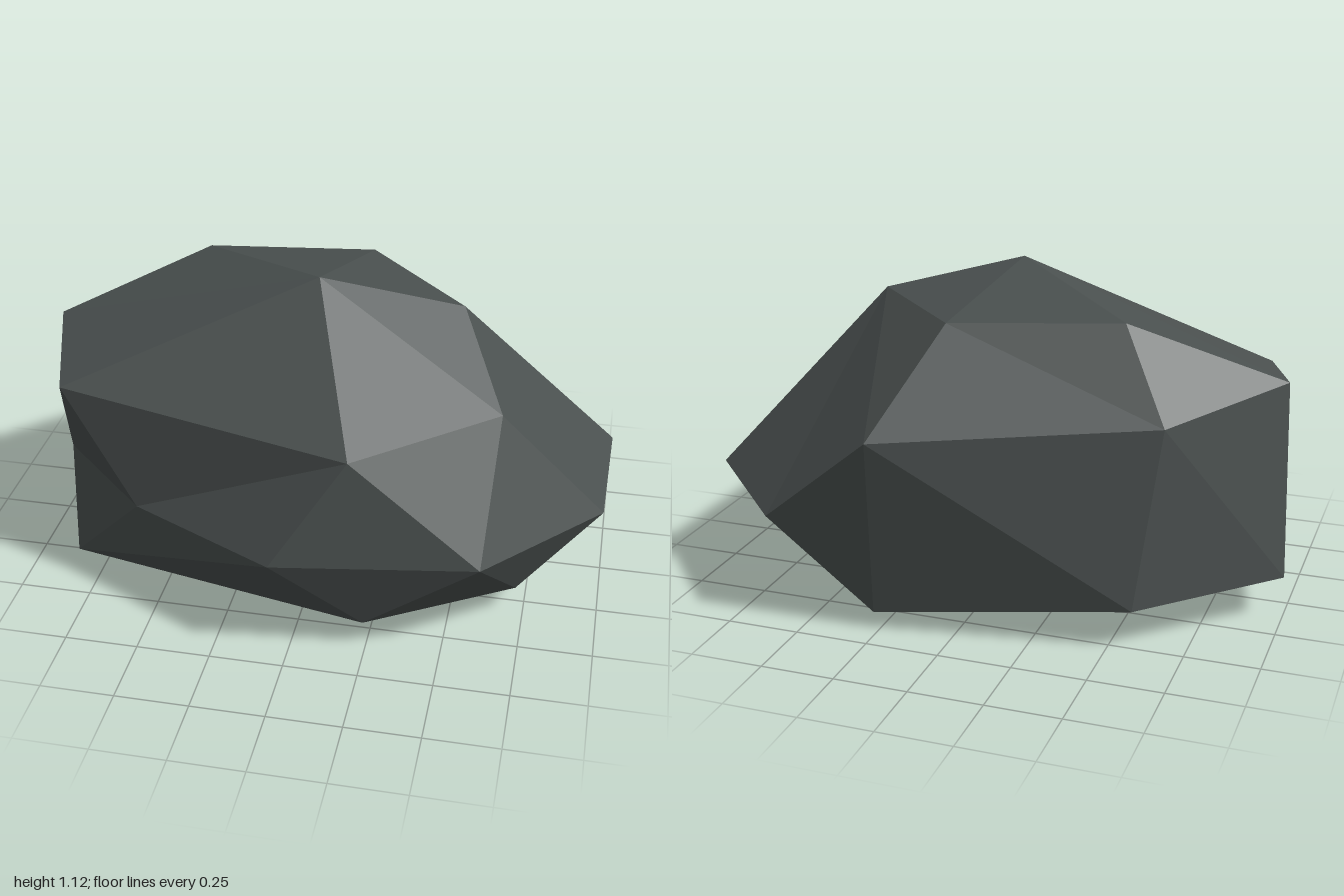
import * as THREE from 'three';

// Corner points of the boulder, grouped by height
const P = {
  // crown
  peak: [0, 1.12, 0.12], crownL: [0.47, 1.0, 0], crownB: [0.1, 1.0, -0.38], crownR: [-0.47, 1.02, -0.26],
  // shoulder ring
  shF: [0.19, 0.74, 0.63], shFL: [0.64, 0.79, 0.33], shB: [0.24, 0.69, -0.74],
  shBR: [-0.65, 0.74, -0.44], shR: [-0.97, 0.81, -0.05], shFR: [-0.84, 0.75, 0.37],
  // waist ring, with the notch at the front right
  waF: [-0.05, 0.38, 0.73], waFL: [0.62, 0.38, 0.62], waL: [0.99, 0.38, 0.21],
  waBL: [1.0, 0.38, -0.28], waB: [0.62, 0.38, -0.7],
  notchIn: [-0.9, 0.38, 0.15], notchOut: [-0.56, 0.38, 0.48],
  // foot ring and lowest point
  ftF: [0.24, 0.1, 0.6], ftL: [0.72, 0.1, 0.31], ftB: [0.27, 0.06, -0.64],
  ftBR: [-0.58, 0.14, -0.52], ftR: [-1.0, 0.15, -0.12], ftFR: [-0.83, 0.08, 0.36],
  base: [-0.2, 0, -0.28],
};

// Facets as fans: a hub corner followed by its rim
const fans = [
  'peak crownL crownB crownR shR shFR shF shFL crownL',
  'shBR crownB crownR shR ftR ftBR shB crownB',
  'crownL crownB shB waB waBL waL shFL',
  'waFL shF shFL waL ftL ftF waF shF',
  'notchOut shFR shF waF ftFR notchIn shFR',
  'notchIn shFR shR ftR ftFR',
  'ftB ftL waBL waB shB ftBR',
  'base ftF ftL ftB ftBR ftR ftFR ftF',
  'ftL waL waBL',
  'ftF waF ftFR',
];

export function createModel() {
  const stone = new THREE.MeshStandardMaterial({ color: 0x4a504f });
  stone.name = 'slate grey stone';
  stone.flatShading = true;

  const middle = new THREE.Vector3(0, 0.5, 0);
  const positions = [];
  for (const fan of fans) {
    const [hub, ...rim] = fan.split(' ').map((n) => new THREE.Vector3(...P[n]));
    for (let i = 0; i + 1 < rim.length; i++) {
      // wind every facet so that it faces away from the middle
      const t = new THREE.Triangle(hub, rim[i], rim[i + 1]);
      const out = t.getMidpoint(new THREE.Vector3()).sub(middle);
      const order = t.getNormal(new THREE.Vector3()).dot(out) > 0 ? [t.a, t.b, t.c] : [t.a, t.c, t.b];
      order.forEach((v) => positions.push(v.x, v.y, v.z));
    }
  }
  const geometry = new THREE.BufferGeometry();
  geometry.setAttribute('position', new THREE.Float32BufferAttribute(positions, 3));
  geometry.computeVertexNormals();

  const boulder = new THREE.Mesh(geometry, stone);
  boulder.name = 'boulder';
  const group = new THREE.Group();
  group.name = 'rock';
  group.add(boulder);
  return group;
}
